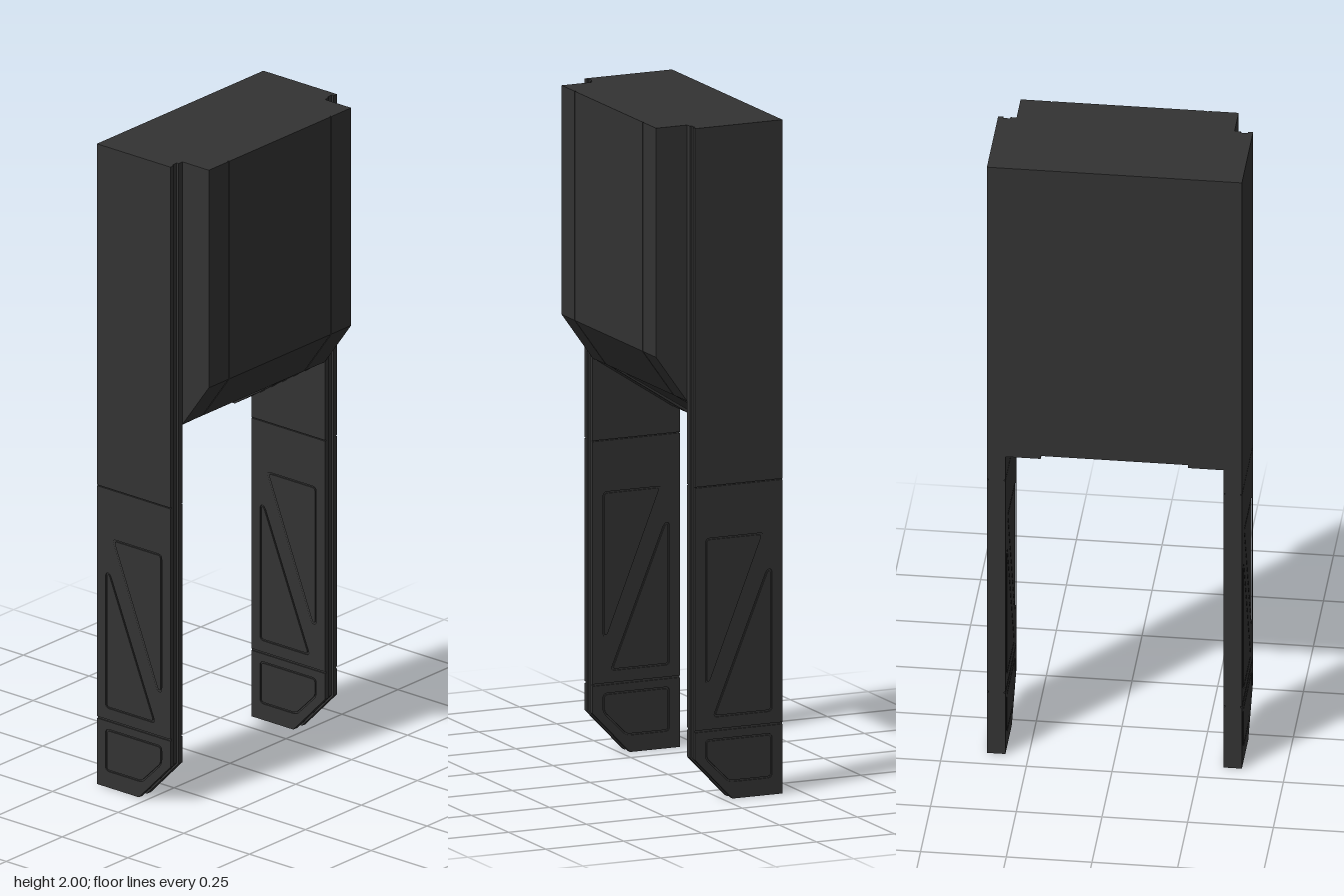
import * as THREE from 'three';

const material = new THREE.MeshStandardMaterial({ color: 0x333333 });

// Shape from [z, y] corners, optionally with rounded corners.
function makeShape(points, radius = 0, Type = THREE.Shape) {
  const p = points.map(([z, y]) => new THREE.Vector2(-z, y));
  if (!radius) return new Type(p);
  const shape = new Type();
  p.forEach((c, i) => {
    const prev = p[(i + p.length - 1) % p.length];
    const next = p[(i + 1) % p.length];
    const toward = (q) => c.clone().add(
      q.clone().sub(c).setLength(Math.min(radius, c.distanceTo(q) * 0.45)));
    const a = toward(prev), b = toward(next);
    if (i === 0) shape.moveTo(a.x, a.y);
    else shape.lineTo(a.x, a.y);
    shape.quadraticCurveTo(c.x, c.y, b.x, b.y);
  });
  shape.closePath();
  return shape;
}

// Moves every edge of a convex polygon inward by w.
function inset(points, w) {
  const n = points.length;
  let area = 0;
  points.forEach(([x, y], i) => {
    const [u, v] = points[(i + 1) % n];
    area += x * v - u * y;
  });
  const s = Math.sign(area);
  const lines = points.map(([x, y], i) => {
    const [u, v] = points[(i + 1) % n];
    const l = Math.hypot(u - x, v - y);
    const nx = -s * (v - y) / l, ny = s * (u - x) / l;
    return [nx, ny, nx * x + ny * y + w];
  });
  return lines.map(([a, b, c], i) => {
    const [d, e, f] = lines[(i + n - 1) % n];
    const det = a * e - b * d;
    return [(c * e - b * f) / det, (a * f - c * d) / det];
  });
}

// Extrudes a side profile across the width from x0 to x1.
function slab(name, shape, x0, x1) {
  const geometry = new THREE.ExtrudeGeometry(shape, {
    depth: x1 - x0, bevelEnabled: false, curveSegments: 4,
  });
  geometry.rotateY(Math.PI / 2);
  geometry.translate(x0, 0, 0);
  const mesh = new THREE.Mesh(geometry, material);
  mesh.name = name;
  return mesh;
}

const BACK = -0.19, FRONT = 0.09;

// Leg outline with the chamfered toe; d sets the front edge back.
const legProfile = (d = 0) => [
  [BACK, 0], [-0.03 - d, 0], [FRONT - d, 0.125], [FRONT - d, 2], [BACK, 2],
];

// Engraved outlines on the leg faces
const toePanel = [[0.057, 0.182], [0.057, 0.125], [-0.018, 0.05], [-0.157, 0.05], [-0.157, 0.182]];
const shinPanels = [
  [[0.057, 0.78], [-0.132, 0.78], [0.04, 0.35], [0.057, 0.35]],
  [[-0.157, 0.67], [-0.14, 0.67], [0.033, 0.247], [-0.157, 0.247]],
];

// Face plates are separated by narrow horizontal seams
const plates = [
  { outline: [[BACK, 0], [-0.03, 0], [FRONT, 0.125], [FRONT, 0.206], [BACK, 0.206]], panels: [toePanel] },
  { outline: [[BACK, 0.212], [FRONT, 0.212], [FRONT, 0.932], [BACK, 0.932]], panels: shinPanels },
  { outline: [[BACK, 0.935], [FRONT, 0.935], [FRONT, 2], [BACK, 2]], panels: [] },
];

function createLeg(side) {
  const leg = new THREE.Group();
  leg.name = side > 0 ? 'leftLeg' : 'rightLeg';
  const add = (name, shape, a, b) =>
    leg.add(side > 0 ? slab(name, shape, a, b) : slab(name, shape, -b, -a));

  // Core with a slot running down the front edge
  add('innerRail', makeShape(legProfile()), 0.322, 0.336);
  add('frontSlot', makeShape(legProfile(0.007)), 0.336, 0.357);
  add('outerRail', makeShape(legProfile()), 0.357, 0.368);

  // Thin plates on both faces, with ring grooves around the panels
  for (const [a, b] of [[0.318, 0.322], [0.368, 0.372]]) {
    for (const { outline, panels } of plates) {
      const plate = makeShape(outline);
      for (const panel of panels) {
        plate.holes.push(makeShape(panel, 0.014, THREE.Path));
        add('panel', makeShape(inset(panel, 0.005), 0.01), a, b);
      }
      add('facePlate', plate, a, b);
    }
  }
  return leg;
}

// Body outline; d recesses the front and lift raises the sloped underside.
const bodyProfile = (d = 0, lift = 0) => [
  [BACK, 2], [0.19 - d, 2], [0.19 - d, 1.32], [FRONT - d, 1.18],
  [FRONT - 0.01 - d, 1.175 + lift / 2], [-0.165, 1.015 + lift], [BACK, 1.015 + lift],
];

function createBody() {
  const body = new THREE.Group();
  body.name = 'body';
  body.add(slab('centreBlock', makeShape(bodyProfile(0, 0.01)), -0.215, 0.215));
  const layers = [
    ['underside trim', 0.215, 0.226, 0],
    ['frontSeam', 0.226, 0.23, 0.004],
    ['sideBlock', 0.23, 0.318, 0],
  ];
  for (const [name, a, b, d] of layers) {
    body.add(slab(name, makeShape(bodyProfile(d)), a, b));
    body.add(slab(name, makeShape(bodyProfile(d)), -b, -a));
  }
  return body;
}

export function createModel() {
  const model = new THREE.Group();
  model.name = 'twoLeggedBlock';
  model.add(createBody(), createLeg(1), createLeg(-1));
  return model;
}
